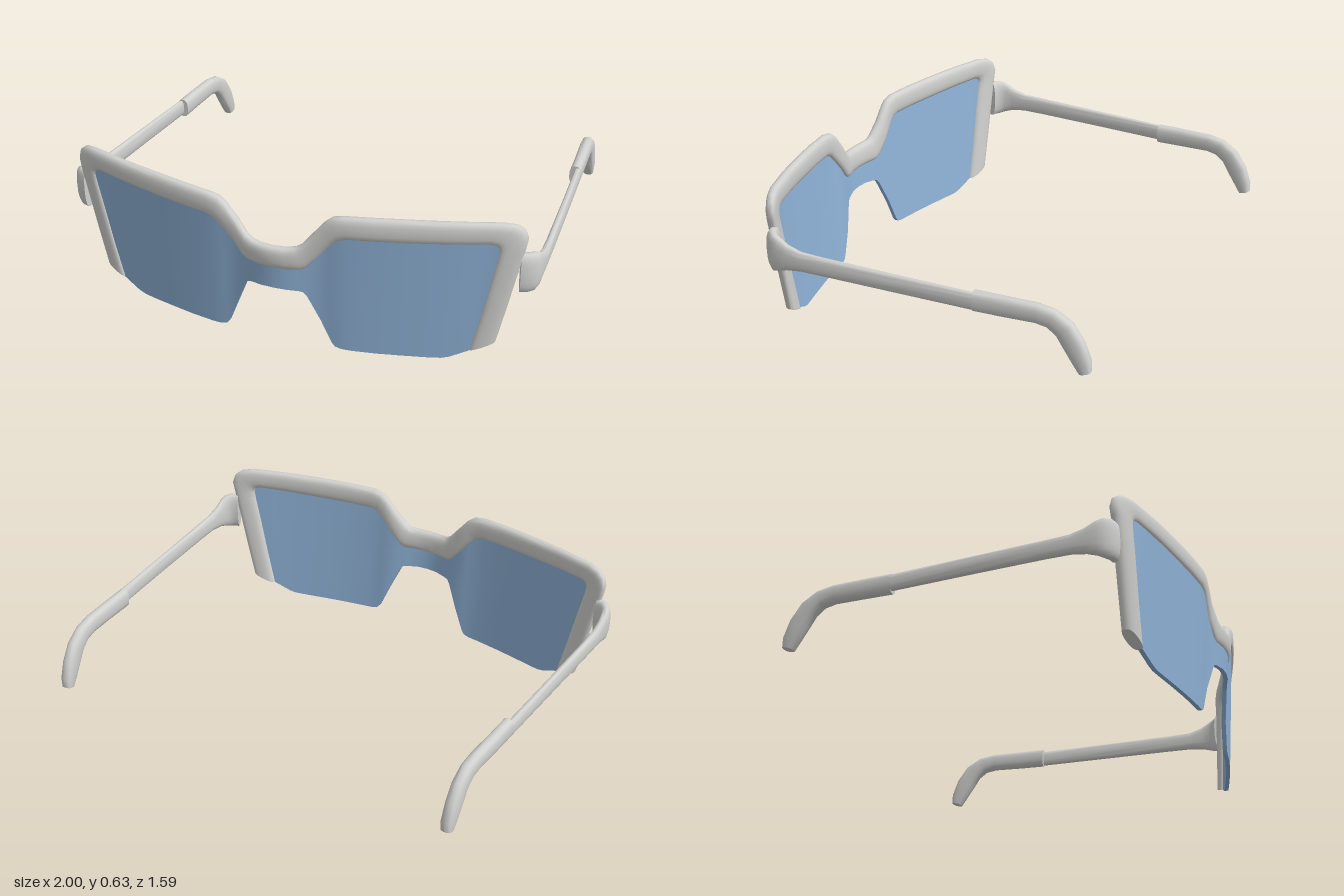
import * as THREE from 'three';
import { mergeVertices, toCreasedNormals } from 'three/addons/utils/BufferGeometryUtils.js';

const frameMat = new THREE.MeshStandardMaterial({ color: 0xd0d0ce });
frameMat.name = 'light grey frame';
const lensMat = new THREE.MeshStandardMaterial({ color: 0x90b3d8 });
lensMat.name = 'blue lens';

// Piecewise linear lookup in [key, value] pairs
function lookup(table, x) {
  let i = 1;
  while (i < table.length - 1 && x > table[i][0]) i++;
  const [a, b] = [table[i - 1], table[i]];
  return THREE.MathUtils.mapLinear(x, a[0], b[0], a[1], b[1]);
}

// Wrap of the front piece around the face, leaning back towards the bottom
const wrap = [[0, 0.77], [0.05, 0.766], [0.1, 0.752], [0.14, 0.742], [0.2, 0.739],
  [0.28, 0.737], [0.4, 0.716], [0.5, 0.694], [0.6, 0.67], [0.7, 0.644], [0.85, 0.597], [0.95, 0.557]];
const frontZ = (x, y) => lookup(wrap, Math.abs(x)) - Math.max(0, 0.52 - y) * 0.07
  + (Math.abs(x) < 0.14 ? 0.008 : 0);

// Capped skin over a list of closed loops, always facing outwards
function loft(loops, crease) {
  const n = loops[0].length, index = [];
  const verts = loops.flat();
  for (let i = 0; i < loops.length - 1; i++) {
    for (let j = 0; j < n; j++) {
      const k = (j + 1) % n, a = i * n + j, b = i * n + k;
      index.push(a, b, b + n, a, b + n, a + n);
    }
  }
  const last = (loops.length - 1) * n;
  for (let j = 1; j < n - 1; j++) {
    index.push(0, j + 1, j, last, last + j, last + j + 1);
  }
  let volume = 0;
  for (let i = 0; i < index.length; i += 3) {
    const [a, b, c] = [verts[index[i]], verts[index[i + 1]], verts[index[i + 2]]];
    volume += a.dot(b.clone().cross(c));
  }
  if (volume < 0) index.reverse();
  const geo = new THREE.BufferGeometry().setFromPoints(verts);
  geo.setIndex(index);
  return toCreasedNormals(mergeVertices(geo), crease);
}

// Unit superellipse, a rounded box-like section
const section = Array.from({ length: 20 }, (_, i) => {
  const t = (i / 20) * Math.PI * 2;
  const soft = (v) => Math.sign(v) * Math.abs(v) ** 0.75;
  return [soft(Math.cos(t)), soft(Math.sin(t))];
});

// Rod through stations [x, y, z, half width, half height], on side s
function rod(stations, s) {
  const pts = stations.map(([x, y, z]) => new THREE.Vector3(x * s, y, z));
  const loops = stations.map(([, , , w, h], i) => {
    const dir = pts[Math.min(i + 1, pts.length - 1)].clone().sub(pts[Math.max(i - 1, 0)]).normalize();
    const side = dir.clone().cross(new THREE.Vector3(0, 1, 0)).normalize();
    const up = side.clone().cross(dir);
    return section.map(([c, d]) => pts[i].clone().addScaledVector(side, c * w).addScaledVector(up, d * h));
  });
  return loft(loops, 0.9);
}

// Half list of stations from the middle outwards, completed by mirroring in x
function mirrored(half, flip) {
  return [...half.slice(1).reverse().map(flip), ...half];
}

function frontFrame() {
  // outer x, outer y, inner x, inner y
  const half = [
    [0, 0.454, 0, 0.356], [0.05, 0.455, 0.06, 0.357], [0.09, 0.46, 0.115, 0.359],
    [0.115, 0.475, 0.137, 0.372], [0.16, 0.53, 0.18, 0.425], [0.205, 0.585, 0.235, 0.49],
    [0.235, 0.61, 0.262, 0.515], [0.28, 0.62, 0.295, 0.525], [0.4, 0.625, 0.4, 0.529],
    [0.5, 0.628, 0.5, 0.532], [0.6, 0.63, 0.6, 0.536], [0.7, 0.632, 0.7, 0.54],
    [0.86, 0.634, 0.815, 0.545], [0.91, 0.625, 0.838, 0.541], [0.938, 0.603, 0.849, 0.532],
    [0.95, 0.565, 0.852, 0.515], [0.943, 0.525, 0.846, 0.48], [0.918, 0.41, 0.822, 0.37],
    [0.885, 0.255, 0.79, 0.215], [0.848, 0.09, 0.752, 0.047],
  ];
  const rows = mirrored(half, ([a, b, c, d]) => [-a, b, -c, d]);
  return loft(rows.map(([ox, oy, ix, iy]) => section.map(([c, d]) => {
    const x = (ox + ix) / 2 + ((ox - ix) / 2) * c;
    const y = (oy + iy) / 2 + ((oy - iy) / 2) * c;
    return new THREE.Vector3(x, y, frontZ(x, y) + d * 0.025);
  })), 0.9);
}

function shield() {
  // x, bottom y, top y of the one-piece lens
  const half = [
    [0, 0.265, 0.39], [0.05, 0.264, 0.39], [0.1, 0.26, 0.39], [0.117, 0.256, 0.39],
    [0.13, 0.24, 0.4], [0.18, 0.125, 0.45], [0.222, 0.025, 0.5], [0.235, 0.008, 0.515],
    [0.26, 0.001, 0.54], [0.3, 0, 0.55], [0.4, 0, 0.56], [0.5, 0.001, 0.56], [0.6, 0.002, 0.565],
    [0.65, 0.004, 0.565], [0.68, 0.012, 0.565], [0.755, 0.048, 0.565], [0.81, 0.28, 0.565],
    [0.865, 0.52, 0.56],
  ];
  const rows = mirrored(half, ([x, b, t]) => [-x, b, t]);
  return loft(rows.map(([x, b, t]) => [[b, 1], [t, 1], [t, -1], [b, -1]].map(([y, d]) =>
    new THREE.Vector3(x, y, frontZ(x, y) + 0.005 + d * 0.009))), 0.7);
}

// Arm, wrapping round from the front corner
const arm = [
  [0.925, 0.415, 0.556, 0.025, 0.085], [0.952, 0.415, 0.547, 0.026, 0.085],
  [0.972, 0.413, 0.525, 0.024, 0.082], [0.979, 0.411, 0.5, 0.02, 0.072],
  [0.98, 0.407, 0.46, 0.018, 0.054], [0.98, 0.403, 0.4, 0.017, 0.041],
  [0.976, 0.401, 0.3, 0.016, 0.039], [0.96, 0.395, 0, 0.015, 0.037], [0.94, 0.388, -0.345, 0.015, 0.035],
];
// Thicker sleeve that hooks down behind the ear
const tip = [
  [0.931, 0.388, -0.33, 0.025, 0.042], [0.926, 0.389, -0.45, 0.025, 0.041],
  [0.918, 0.39, -0.58, 0.026, 0.039], [0.914, 0.379, -0.64, 0.026, 0.04],
  [0.911, 0.345, -0.69, 0.027, 0.043], [0.909, 0.285, -0.73, 0.027, 0.044],
  [0.907, 0.22, -0.762, 0.026, 0.035], [0.906, 0.185, -0.772, 0.022, 0.024],
];

export function createModel() {
  const model = new THREE.Group();
  model.name = 'glasses';
  const add = (name, geo, mat) => {
    const mesh = new THREE.Mesh(geo, mat);
    mesh.name = name;
    model.add(mesh);
  };
  add('frontFrame', frontFrame(), frameMat);
  add('shieldLens', shield(), lensMat);
  for (const [side, s] of [['left', 1], ['right', -1]]) {
    add(side + 'Arm', rod(arm, s), frameMat);
    add(side + 'EarTip', rod(tip, s), frameMat);
  }
  return model;
}
